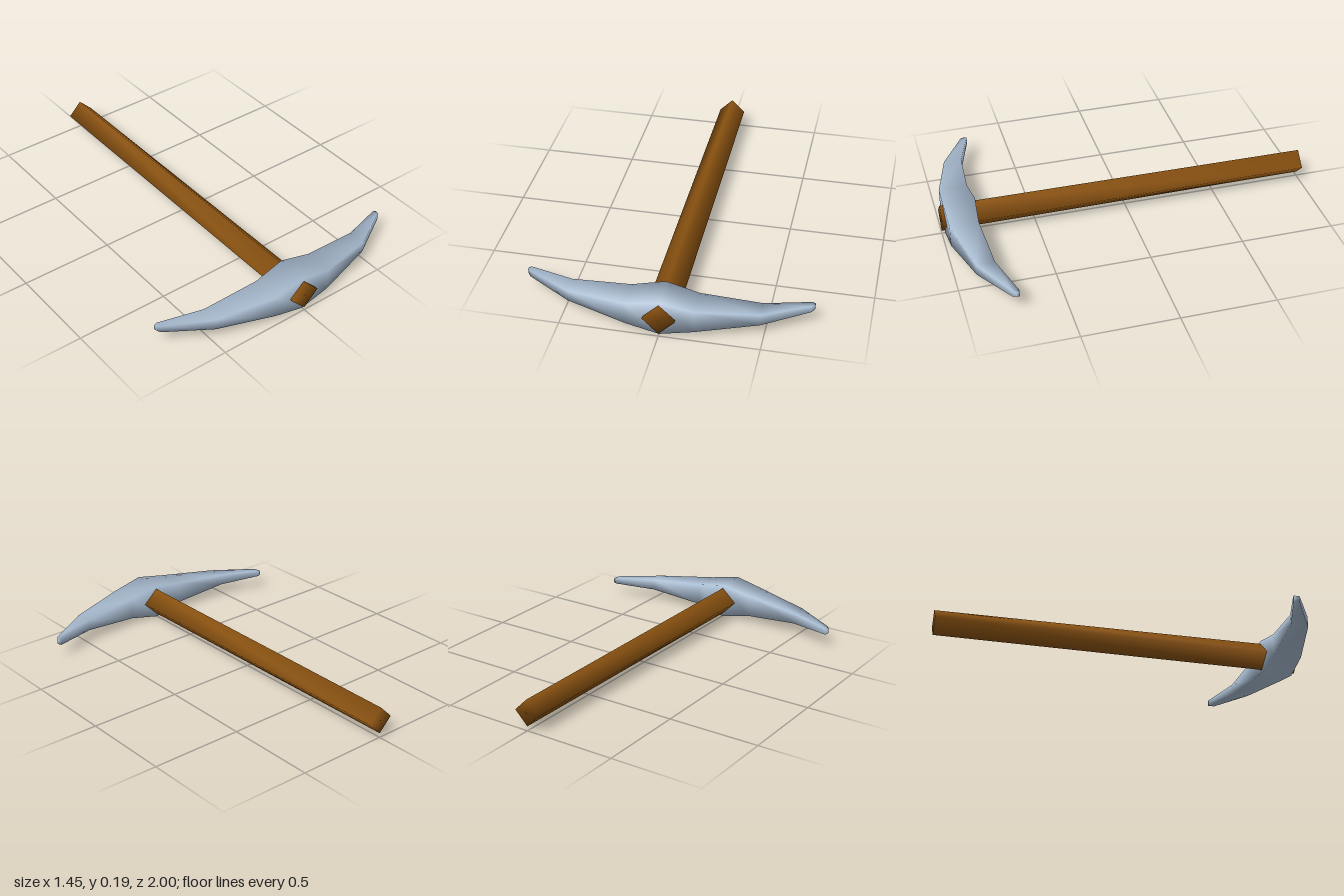
import * as THREE from 'three';

// Skin a row of equal-sized rings with smooth, shared normals and capped ends.
// Rings run counterclockwise as seen from the end of the row.
function loft(rings) {
  const n = rings[0].length, last = (rings.length - 1) * n, index = [];
  for (let i = 0; i < rings.length - 1; i++) {
    for (let j = 0; j < n; j++) {
      const k = (j + 1) % n, a = i * n + j, b = i * n + k;
      index.push(a, b, b + n, a, b + n, a + n);
    }
  }
  for (let j = 1; j < n - 1; j++) {
    index.push(0, j + 1, j, last, last + j, last + j + 1);
  }
  const geometry = new THREE.BufferGeometry();
  geometry.setAttribute('position', new THREE.Float32BufferAttribute(rings.flat(2), 3));
  geometry.setIndex(index);
  geometry.computeVertexNormals();
  return geometry;
}

export function createModel() {
  const wood = new THREE.MeshStandardMaterial({ color: 0x8a5210 });
  wood.name = 'brown wood';
  const steel = new THREE.MeshStandardMaterial({ color: 0xa8bbd0 });
  steel.name = 'pale steel';
  const midY = 0.1;
  const group = new THREE.Group();
  group.name = 'pickaxe';

  // Diamond-section handle, tapering slightly to the back
  const diamond = (r, z) => [[r, midY, z], [0, midY + r, z], [-r, midY, z], [0, midY - r, z]];
  const handle = new THREE.Mesh(loft([diamond(0.072, -1), diamond(0.08, 1)]), wood);
  handle.name = 'handle';
  group.add(handle);

  // Head: half sections [x, half height, back z, front z], mirrored across x = 0
  const half = [
    [0, 0.096, 0.812, 0.983],
    [0.17, 0.061, 0.825, 0.977],
    [0.48, 0.03, 0.804, 0.9],
    [0.713, 0.018, 0.732, 0.766],
    [0.727, 0.011, 0.733, 0.748],
  ];
  const sections = [
    ...half.slice(1).reverse().map(([x, ...rest]) => [-x, ...rest]),
    ...half,
  ];
  const rings = sections.map(([x, h, back, front]) => [
    [x, midY + h, back], [x, midY + h, front], [x, midY - h, front], [x, midY - h, back],
  ]);
  const head = new THREE.Mesh(loft(rings), steel);
  head.name = 'head';
  group.add(head);

  return group;
}
